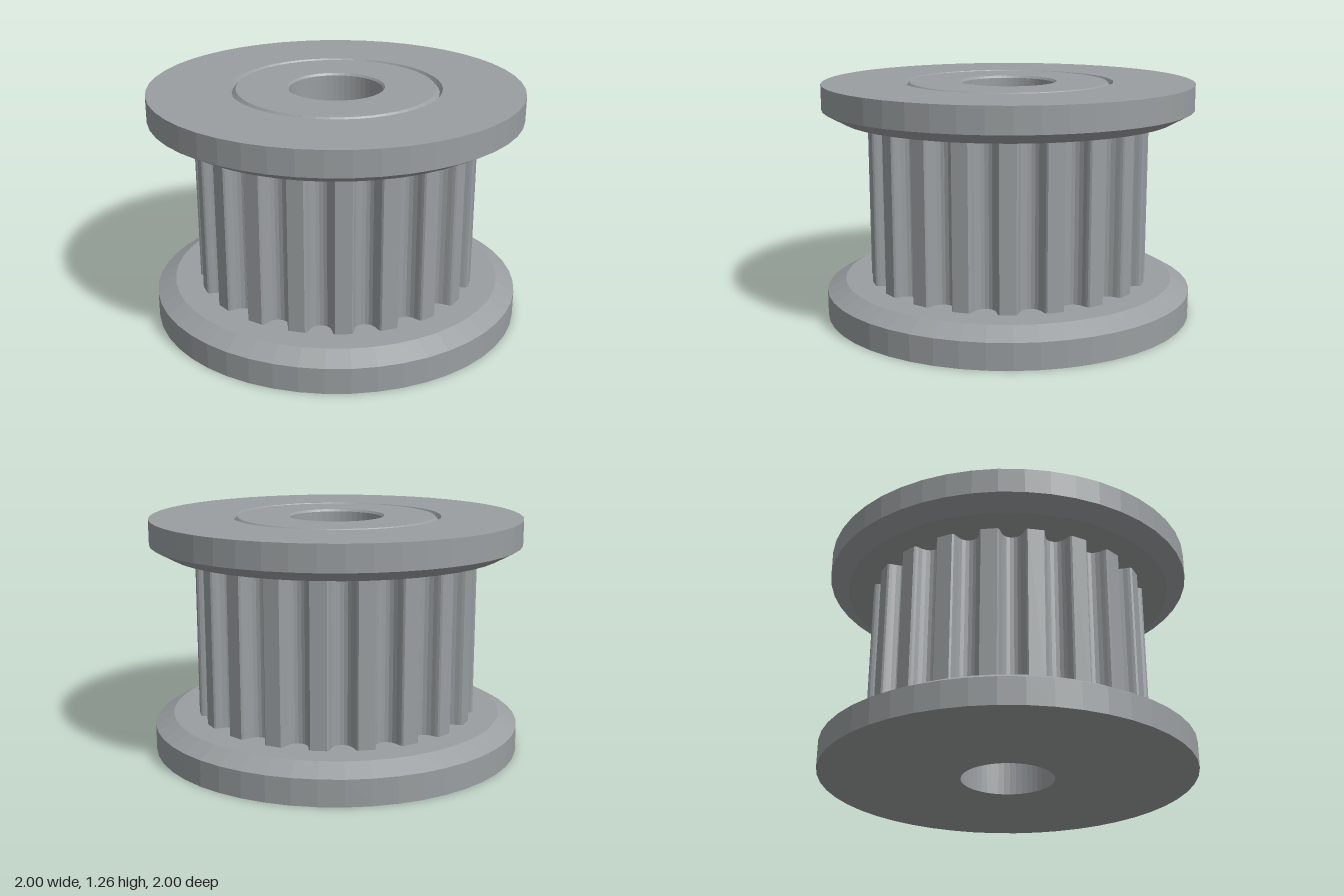
import * as THREE from 'three';

const SEGMENTS = 48;
const TEETH = 20;
const TIP_RADIUS = 0.76;

// Solid of revolution from a closed [radius, height] profile
function turned(name, profile, material) {
  const points = profile.map(([r, y]) => new THREE.Vector2(r, y));
  points.push(points[0].clone());
  const mesh = new THREE.Mesh(new THREE.LatheGeometry(points, SEGMENTS), material);
  mesh.name = name;
  return mesh;
}

// Toothed outline: rounded belt grooves between narrow lands
function toothOutline() {
  const half = [[0.077, 0], [0.069, 0.008], [0.064, 0.022], [0.059, 0.046],
    [0.048, 0.068], [0.032, 0.083], [0.012, 0.09]]; // [half width, depth]
  const groove = [
    ...half.map(([w, d]) => [-w, d]),
    ...half.slice().reverse(),
  ];
  const points = [];
  for (let i = 0; i < TEETH; i++) {
    const centre = (i / TEETH) * Math.PI * 2;
    for (const [w, d] of groove) {
      const a = centre + w / TIP_RADIUS;
      const r = TIP_RADIUS - d;
      points.push(new THREE.Vector2(Math.cos(a) * r, Math.sin(a) * r));
    }
  }
  return new THREE.Shape(points);
}

export function createModel() {
  const metal = new THREE.MeshStandardMaterial({ color: 0x9a9ea0, flatShading: true });
  metal.name = 'grey metal';
  const model = new THREE.Group();
  model.name = 'timingPulley';

  // Lower flange and central hub with a chamfered bore
  model.add(turned('lowerFlangeAndHub', [
    [0.25, 0], [1, 0], [1, 0.14], [0.9, 0.195], [0.55, 0.195], [0.55, 1.243],
    [0.53, 1.265], [0.26, 1.265], [0.25, 1.253],
  ], metal));

  // Upper flange ring, chamfered where it meets the hub
  model.add(turned('upperFlange', [
    [0.55, 1.075], [0.9, 1.075], [1, 1.13], [1, 1.265], [0.565, 1.265], [0.55, 1.243],
  ], metal));

  // Toothed ring, its ends sunk slightly into both flanges
  const outline = toothOutline();
  outline.holes.push(new THREE.Path().absarc(0, 0, 0.5, 0, Math.PI * 2, true));
  const ring = new THREE.ExtrudeGeometry(outline, { depth: 0.9, bevelEnabled: false, curveSegments: 12 });
  ring.rotateX(-Math.PI / 2);
  const teeth = new THREE.Mesh(ring, metal);
  teeth.name = 'beltTeeth';
  teeth.position.y = 0.185;
  model.add(teeth);

  return model;
}
